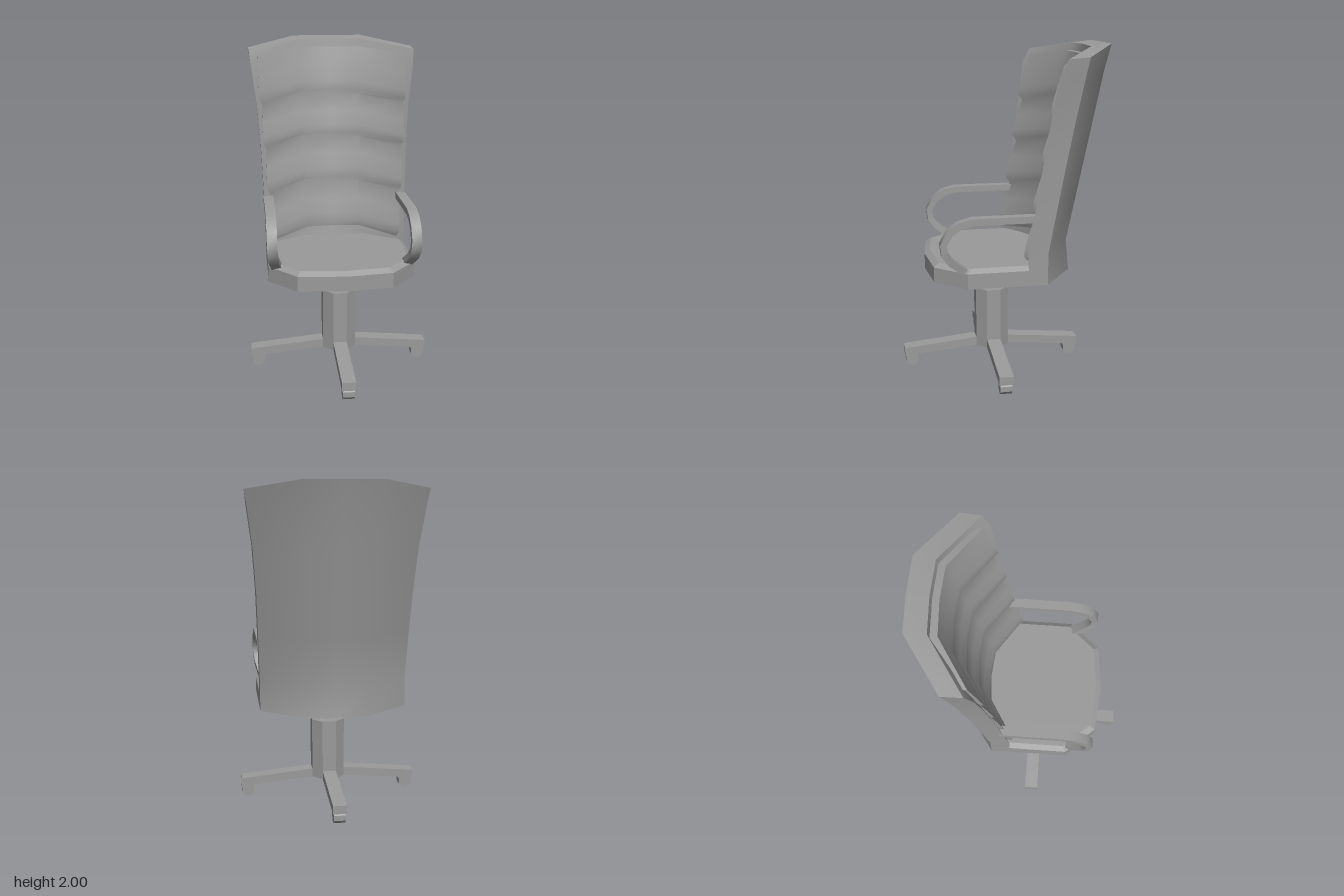
import * as THREE from 'three';
import { toCreasedNormals } from 'three/addons/utils/BufferGeometryUtils.js';

const grey = new THREE.MeshStandardMaterial({ color: 0x9a9a9a });
grey.name = 'grey';

// Closed solid through rings of [x, y, z] points (even count, counter-clockwise about the travel direction)
function loft(rings, crease = 0.7) {
  const n = rings[0].length, index = [];
  rings.slice(1).forEach((_, r) => {
    for (let i = 0; i < n; i++) {
      const a = r * n + i, b = r * n + (i + 1) % n;
      index.push(a, b, b + n, a, b + n, a + n);
    }
  });
  const top = (rings.length - 1) * n;
  for (let i = 0; i < n / 2 - 1; i++) {
    const a = i, b = i + 1, c = n - 2 - i, d = n - 1 - i;
    index.push(a, c, b, a, d, c);
    index.push(top + a, top + b, top + c, top + a, top + c, top + d);
  }
  const g = new THREE.BufferGeometry();
  g.setAttribute('position', new THREE.Float32BufferAttribute(rings.flat(2), 3));
  g.setIndex(index);
  return toCreasedNormals(g, crease);
}

function add(parent, name, geometry) {
  const mesh = new THREE.Mesh(geometry, grey);
  mesh.name = name;
  parent.add(mesh);
  return mesh;
}

// Ring from right-half front and back points [x, y, z], centre point first
function mirrorRing(front, back) {
  const flip = ([x, y, z]) => [-x, y, z];
  return [
    ...front.slice(1).reverse().map(flip), ...front,
    ...back.slice(1).reverse(), ...back.slice(0, 1), ...back.slice(1).map(flip),
  ];
}

function backShell() {
  // height, half width
  const rows = [[0.63, 0.44], [0.82, 0.44], [1.1, 0.448], [1.36, 0.457], [1.62, 0.475], [1.85, 0.505]];
  const rings = rows.map(([y, w]) => {
    const h = y - 0.82, k = 0.18 + 0.03 * h;
    const flare = y < 0.7 ? -0.057 : 0;
    const front = -0.275 - 0.197 * h, back = -0.38 - 0.197 * h + flare;
    const edge = y < 0.7 ? -0.09 : -0.08 - 0.152 * h;
    const backEdge = y < 0.7 ? -0.2 : -0.2 - 0.178 * h;
    return mirrorRing(
      [[0, y, front], [k, y, front + 0.012], [w, y, edge]],
      [[0, y, back], [k, y, back + 0.01], [w, y, backEdge]]);
  });
  // sloping top rim
  rings.push(mirrorRing(
    [[0, 1.988, -0.5], [0.21, 1.985, -0.49], [0.515, 1.935, -0.28]],
    [[0, 2, -0.62], [0.22, 2, -0.61], [0.52, 1.945, -0.4]]));
  return loft(rings);
}

function backCushion() {
  const creases = [0.81, 1.1, 1.38, 1.645, 1.94];
  const profile = [[0, 0], [0.1, 0.9], [0.28, 1], [0.62, 0.65]];
  const ring = (y, bulge) => {
    const t = (y - 0.81) / 1.13;
    const k = 0.165 + 0.035 * t, w = 0.392 + 0.068 * t + 0.012 * bulge;
    const c = -0.232 - 0.222 * t;
    const edge = -0.085 - 0.185 * t + 0.03 * bulge;
    const ye = y - 0.04;
    return mirrorRing(
      [[0, y, c + 0.008 * bulge], [k, y, c + 0.012 + 0.012 * bulge], [w, ye, edge]],
      [[0, y, c - 0.08], [k, y, c - 0.07], [w, ye, edge - 0.06]]);
  };
  const rings = [];
  for (let i = 0; i < 4; i++) {
    for (const [f, bulge] of profile) {
      rings.push(ring(THREE.MathUtils.lerp(creases[i], creases[i + 1], f), bulge));
    }
  }
  rings.push(ring(creases[4], 0));
  return loft(rings, 0.75);
}

function seat() {
  const front = [[0, 0.48], [0.28, 0.45], [0.44, 0.27]];
  const back = [[0, -0.27], [0.28, -0.25], [0.44, -0.1]];
  const ring = (y, s) => {
    const place = ([x, z]) => [x * s, y, z * s];
    return mirrorRing(front.map(place), back.map(place));
  };
  return loft([ring(0.63, 1), ring(0.722, 1), ring(0.745, 0.93)], 0.4);
}

// Flat bar bent forward and round into the seat
function armrest(side) {
  const path = [[0.42, 1.03, -0.14], [0.42, 1.03, 0.24], [0.42, 1.01, 0.315], [0.42, 0.965, 0.375],
    [0.42, 0.9, 0.41], [0.418, 0.84, 0.402], [0.41, 0.79, 0.365], [0.39, 0.725, 0.28]]
    .map(([x, y, z]) => new THREE.Vector3(x * side, y, z));
  const u = new THREE.Vector3(1, 0, 0);
  const rings = path.map((p, i) => {
    const ahead = path[Math.min(i + 1, path.length - 1)];
    const t = ahead.clone().sub(path[Math.max(i - 1, 0)]).normalize();
    const v = t.cross(u).normalize();
    return [[-1, -1], [1, -1], [1, 1], [-1, 1]].map(([a, b]) =>
      p.clone().addScaledVector(u, 0.03 * a).addScaledVector(v, 0.02 * b).toArray());
  });
  return loft(rings);
}

// Tapered sloping leg pointing along +x
function leg() {
  const ring = (x, y0, y1) => [[x, y0, 0.042], [x, y0, -0.042], [x, y1, -0.042], [x, y1, 0.042]];
  return loft([ring(0, 0.118, 0.17), ring(0.1, 0.11, 0.163), ring(0.555, 0.068, 0.12)], 0.3);
}

export function createModel() {
  const model = new THREE.Group();
  model.name = 'officeChair';
  add(model, 'backShell', backShell());
  add(model, 'backCushion', backCushion());
  add(model, 'seat', seat());
  add(model, 'leftArmrest', armrest(1));
  add(model, 'rightArmrest', armrest(-1));

  // Swivel base
  const base = new THREE.Group();
  base.name = 'base';
  base.position.z = 0.065;
  model.add(base);
  add(base, 'gasLift', new THREE.CylinderGeometry(0.04, 0.04, 0.18, 16)).position.y = 0.56;
  const column = new THREE.CylinderGeometry(0.11, 0.11, 0.383, 8).rotateY(Math.PI / 8);
  add(base, 'column', toCreasedNormals(column, 0.3)).position.y = 0.3015;

  const wheel = toCreasedNormals(new THREE.CylinderGeometry(0.042, 0.042, 0.07, 8).rotateX(Math.PI / 2).rotateZ(Math.PI / 8), 0.3);
  for (let i = 0; i < 4; i++) {
    const arm = new THREE.Group();
    arm.name = 'leg' + (i + 1);
    arm.rotation.y = i * Math.PI / 2;
    base.add(arm);
    add(arm, 'legBar', leg());
    add(arm, 'caster', wheel).position.set(0.51, 0.039, 0);
  }
  return model;
}
